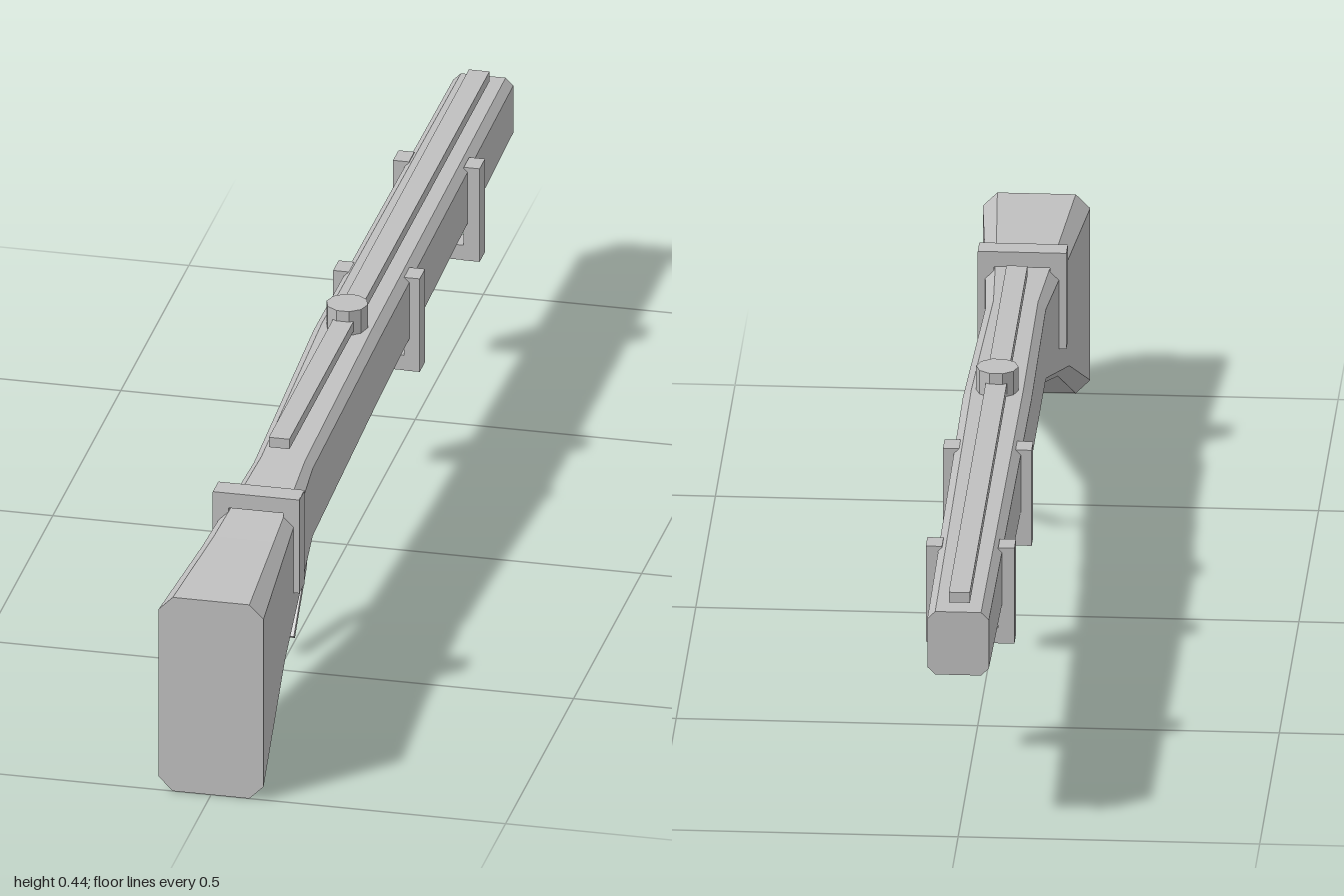
import * as THREE from 'three';

const grey = new THREE.MeshStandardMaterial({ color: 0xc0c0c0, flatShading: true });
grey.name = 'plain grey';

// Chamfered rectangular cross-section, counter-clockwise seen from +z
function section([z, w, bottom, top, c]) {
  return [
    [w - c, bottom], [w, bottom + c], [w, top - c], [w - c, top],
    [c - w, top], [-w, top - c], [-w, bottom + c], [c - w, bottom],
  ].map(([x, y]) => [x, y, z]);
}

// Skin the sections from front to back and cap both ends
function loft(sections) {
  const rings = sections.map(section);
  const pos = [];
  const tri = (...pts) => pts.forEach((p) => pos.push(...p));
  for (let i = 0; i < rings.length - 1; i++) {
    for (let j = 0; j < 8; j++) {
      const k = (j + 1) % 8;
      const a = rings[i][j], b = rings[i][k], c = rings[i + 1][k], d = rings[i + 1][j];
      tri(a, d, b);
      tri(b, d, c);
    }
  }
  const first = rings[0], last = rings[rings.length - 1];
  for (let j = 1; j < 7; j++) {
    tri(first[0], first[j], first[j + 1]);
    tri(last[0], last[j + 1], last[j]);
  }
  const g = new THREE.BufferGeometry();
  g.setAttribute('position', new THREE.Float32BufferAttribute(pos, 3));
  g.computeVertexNormals();
  return g;
}

function part(parent, name, geometry, x = 0, y = 0, z = 0) {
  const m = new THREE.Mesh(geometry, grey);
  m.name = name;
  m.position.set(x, y, z);
  parent.add(m);
  return m;
}

// U-shaped bracket: two legs joined by a bar at the given height
function bracket(parent, name, z, barY) {
  const g = new THREE.Group();
  g.name = name;
  g.position.z = z;
  for (const s of [-1, 1]) {
    part(g, s > 0 ? 'leftLeg' : 'rightLeg', new THREE.BoxGeometry(0.027, 0.17, 0.04), s * 0.06, 0.31, 0);
  }
  part(g, 'crossBar', new THREE.BoxGeometry(0.146, 0.027, 0.04), 0, barY, 0);
  parent.add(g);
}

export function createModel() {
  const model = new THREE.Group();
  model.name = 'longStockedModel';

  // Stock: z, half width, bottom, top, chamfer
  part(model, 'stock', loft([
    [1, 0.089, 0, 0.354, 0.024],
    [0.76, 0.07, 0.125, 0.357, 0.019],
    [0.47, 0.05, 0.223, 0.372, 0.013],
    [0, 0.057, 0.265, 0.4, 0.014],
    [-1, 0.051, 0.288, 0.4, 0.013],
  ]));

  // Top rail and round knob
  part(model, 'rail', new THREE.BoxGeometry(0.035, 0.018, 1.47), 0, 0.414, -0.235);
  const knob = part(model, 'knob', new THREE.CylinderGeometry(0.035, 0.035, 0.044, 10), 0, 0.42, 0);
  knob.rotation.y = Math.PI / 2;

  // Brackets: one over the stock, two under it
  bracket(model, 'rearBracket', 0.65, 0.382);
  bracket(model, 'middleBracket', -0.235, 0.239);
  bracket(model, 'muzzleBracket', -0.675, 0.239);

  // Bent trigger lever, drawn in side profile (z, y) and extruded across x
  const profile = new THREE.Shape([
    [0.3, 0.245], [0.35, 0.118], [0.436, 0.03], [0.444, 0.036], [0.36, 0.122], [0.312, 0.245],
  ].map(([z, y]) => new THREE.Vector2(-z, y)));
  const lever = new THREE.ExtrudeGeometry(profile, { depth: 0.024, bevelEnabled: false });
  lever.translate(0, 0, -0.012);
  lever.rotateY(Math.PI / 2);
  part(model, 'triggerLever', lever);

  return model;
}
